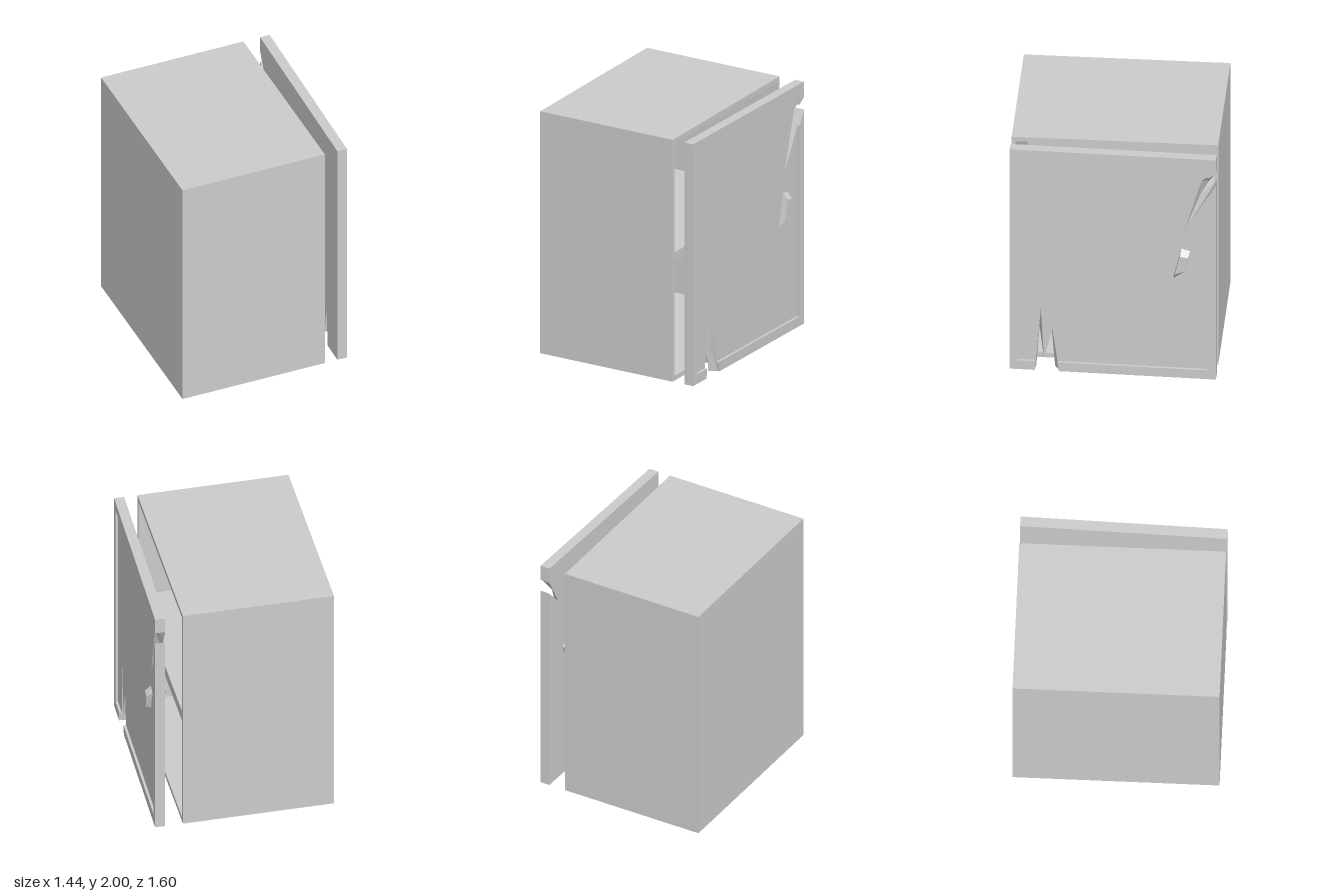
import * as THREE from 'three';
import { ConvexGeometry } from 'three/addons/geometries/ConvexGeometry.js';

const material = new THREE.MeshStandardMaterial({ color: 0xcccccc, flatShading: true });

function add(parent, name, geometry, x = 0, y = 0, z = 0) {
  const mesh = new THREE.Mesh(geometry, material);
  mesh.name = name;
  mesh.position.set(x, y, z);
  parent.add(mesh);
  return mesh;
}

// Solid between two outlines of equal length. Outlines are [u, y] pairs,
// counter-clockwise as seen from +x, where u = -z.
function loft(inner, outer, x0, x1) {
  const pos = [];
  const put = (x, p) => pos.push(x, p[1], -p[0]);
  const cap = (outline, x, facing) => {
    const pts = outline.map(p => new THREE.Vector2(...p));
    for (const f of THREE.ShapeUtils.triangulateShape(pts.slice(), [])) {
      const area = THREE.ShapeUtils.area(f.map(i => pts[i]));
      const order = area * facing > 0 ? f : [f[0], f[2], f[1]];
      order.forEach(i => put(x, outline[i]));
    }
  };
  cap(outer, x1, 1);
  cap(inner, x0, -1);
  for (let i = 0; i < outer.length; i++) {
    const j = (i + 1) % outer.length;
    put(x0, inner[i]); put(x0, inner[j]); put(x1, outer[j]);
    put(x0, inner[i]); put(x1, outer[j]); put(x1, outer[i]);
  }
  const geometry = new THREE.BufferGeometry();
  geometry.setAttribute('position', new THREE.Float32BufferAttribute(pos, 3));
  geometry.computeVertexNormals();
  return geometry;
}

// Outline of the door with its jagged bottom split and side split
const doorOutline = (bottomSplit, sideSplit) =>
  [[-0.8, 0], ...bottomSplit, [0.8, 0], ...sideSplit, [0.8, 2], [-0.8, 2]];

export function createModel() {
  const model = new THREE.Group();
  model.name = 'brokenCabinet';

  // Hollow cabinet, open towards +x
  const cabinet = new THREE.Group();
  cabinet.name = 'cabinet';
  model.add(cabinet);
  const left = -0.72, right = 0.475, side = 0.03, slab = 0.04;
  const width = right - left, mid = (left + right) / 2;
  const shape = new THREE.Shape([[-0.8, 0], [0.8, 0], [0.8, 2], [-0.8, 2]].map(p => new THREE.Vector2(...p)));
  const a = 0.8 - side;
  shape.holes.push(new THREE.Path([[-a, slab], [-a, 2 - slab], [a, 2 - slab], [a, slab]].map(p => new THREE.Vector2(...p))));
  const shell = new THREE.ExtrudeGeometry(shape, { depth: width, bevelEnabled: false });
  shell.rotateY(Math.PI / 2);
  add(cabinet, 'shell', shell, left);
  add(cabinet, 'backPanel', new THREE.BoxGeometry(side, 2 - 2 * slab, 2 * a), left + side / 2, 1);
  add(cabinet, 'shelf', new THREE.BoxGeometry(width - side, 0.09, 2 * a), mid + side / 2, 1.015);

  // Detached door, standing slightly askew
  const door = new THREE.Group();
  door.name = 'door';
  door.position.x = 0.5975;
  door.rotation.y = -0.022;
  model.add(door);

  const outer = doorOutline(
    [[-0.605, 0], [-0.56, 0.55], [-0.535, 0.1], [-0.47, 0.37], [-0.42, 0]],
    [[0.8, 1.77], [0.55, 1.32], [0.69, 1.8], [0.8, 1.87]]);
  const inner = doorOutline(
    [[-0.6, 0], [-0.575, 0.35], [-0.54, 0.1], [-0.48, 0.32], [-0.455, 0]],
    [[0.8, 1.77], [0.67, 1.63], [0.74, 1.76], [0.8, 1.87]]);
  add(door, 'doorPanel', loft(inner, outer, 0, 0.06));

  // Raised rim, interrupted by the two splits
  const upperRim = [[-0.8, 0], [-0.605, 0], [-0.598, 0.08], [-0.74, 0.08], [-0.74, 1.925],
    [0.735, 1.925], [0.735, 1.83], [0.8, 1.87], [0.8, 2], [-0.8, 2]];
  const lowerRim = [[-0.42, 0], [0.8, 0], [0.8, 1.77], [0.735, 1.653], [0.735, 0.08], [-0.43, 0.08]];
  add(door, 'upperRim', loft(upperRim, upperRim, 0.06, 0.08));
  add(door, 'lowerRim', loft(lowerRim, lowerRim, 0.06, 0.08));

  // Bent handle outside: base points on the panel, then the raised face
  const handle = [
    [0.055, 1.172, -0.533], [0.055, 1.151, -0.602], [0.055, 0.89, -0.465], [0.055, 0.96, -0.545],
    [0.106, 1.12, -0.523], [0.106, 1.109, -0.586], [0.106, 0.987, -0.56], [0.106, 0.955, -0.485],
  ];
  add(door, 'handle', new ConvexGeometry(handle.map(p => new THREE.Vector3(...p))));

  // Latch stub inside
  add(door, 'latch', new THREE.BoxGeometry(0.05, 0.066, 0.066), -0.02, 1.15, -0.57).rotation.x = -0.25;

  return model;
}
